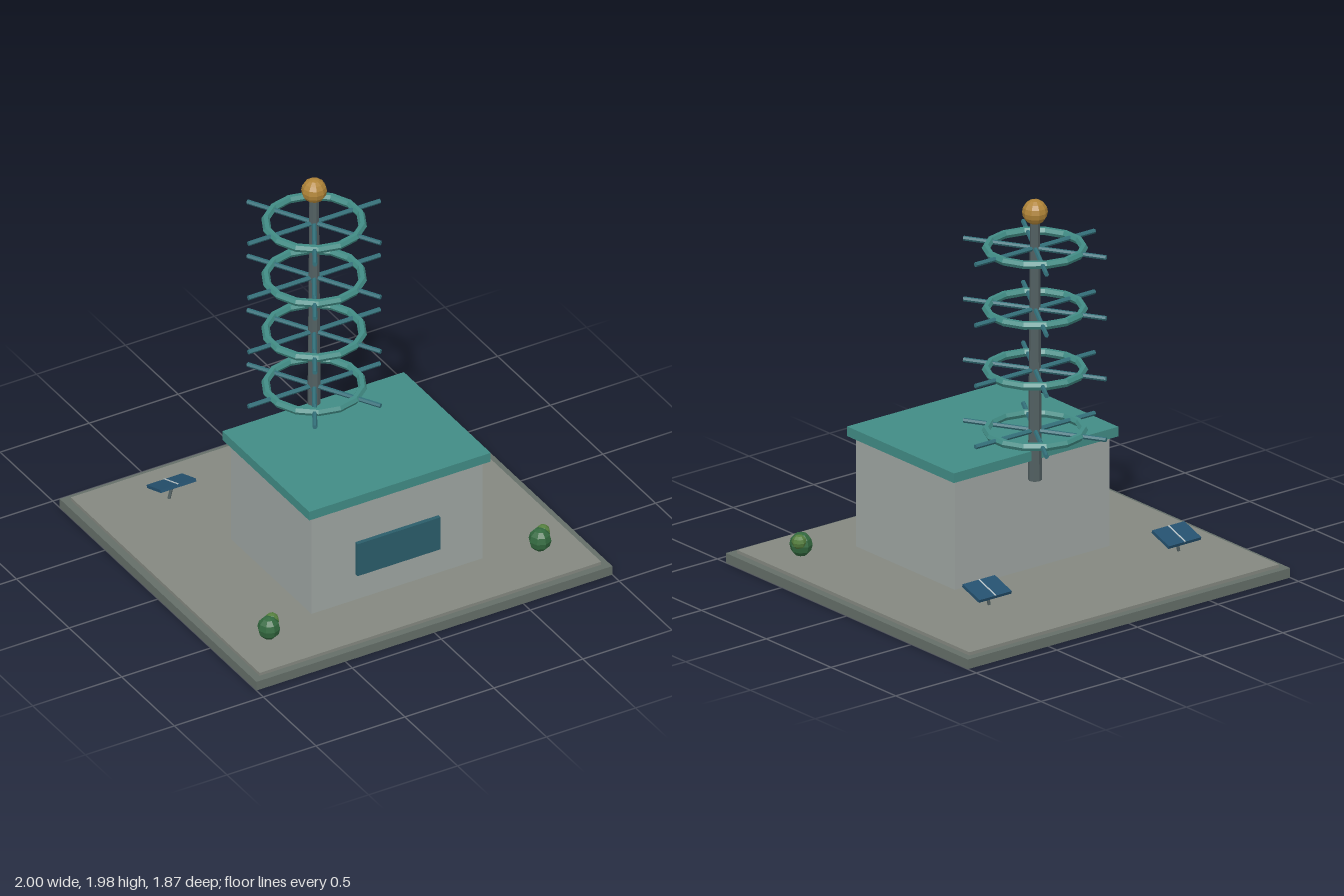
import * as THREE from 'three';

const COLORS = {
  plinth: 0x646e68, paving: 0x848880, wall: 0x9ea5a2, teal: 0x418c85, glass: 0x2b5d6a,
  spoke: 0x33707a, mast: 0x526062, brass: 0xb08438, panel: 0x24506e, trim: 0xb8c4c8,
  leaf: 0x33693f, bud: 0x557f3e,
};

function mesh(name, geometry, color, x = 0, y = 0, z = 0) {
  const material = new THREE.MeshStandardMaterial({ color: COLORS[color], flatShading: true });
  const m = new THREE.Mesh(geometry, material);
  m.name = name;
  m.position.set(x, y, z);
  return m;
}

// Box given by its bounds
function block(name, color, [x0, x1], [y0, y1], [z0, z1]) {
  return mesh(name, new THREE.BoxGeometry(x1 - x0, y1 - y0, z1 - z0), color,
    (x0 + x1) / 2, (y0 + y1) / 2, (z0 + z1) / 2);
}

// Ring with three bars crossing it, making six spokes
function makeAntennaRing() {
  const ring = new THREE.Group();
  ring.name = 'antennaRing';
  const hoop = new THREE.TorusGeometry(0.237, 0.021, 6, 14).rotateZ(Math.PI / 2).rotateX(Math.PI / 2);
  ring.add(mesh('hoop', hoop, 'teal'));
  for (let i = 0; i < 3; i++) {
    const bar = new THREE.CylinderGeometry(0.012, 0.012, 0.74, 6).rotateZ(Math.PI / 2);
    const spoke = mesh('spoke', bar, 'spoke');
    spoke.rotation.y = i * Math.PI / 3;
    ring.add(spoke);
  }
  return ring;
}

// Tilted panel on a leaning post, facing the back
function makeSolarPanel() {
  const solar = new THREE.Group();
  solar.name = 'solarPanel';
  const top = new THREE.Group();
  top.name = 'panelTop';
  top.add(mesh('panel', new THREE.BoxGeometry(0.2, 0.016, 0.138), 'panel'));
  top.add(mesh('divider', new THREE.BoxGeometry(0.007, 0.006, 0.138), 'trim', 0, 0.008, 0));
  top.rotation.x = -0.33;
  const post = mesh('post', new THREE.CylinderGeometry(0.008, 0.008, 0.09, 6), 'mast', -0.003, -0.04, 0);
  post.rotation.z = -0.25;
  solar.add(top, post);
  return solar;
}

// Round shrub with a smaller bud on one side
function makeShrub() {
  const shrub = new THREE.Group();
  shrub.name = 'shrub';
  const body = mesh('shrubBody', new THREE.SphereGeometry(0.057, 8, 6), 'leaf');
  body.scale.y = 1.07;
  shrub.add(body);
  shrub.add(mesh('shrubBud', new THREE.SphereGeometry(0.037, 8, 6), 'bud', 0.028, 0.024, -0.02));
  return shrub;
}

export function createModel() {
  const model = new THREE.Group();
  model.name = 'relayStation';

  // Ground slab
  model.add(block('plinth', 'plinth', [-1, 1], [0, 0.05], [-0.935, 0.935]));
  model.add(block('paving', 'paving', [-0.96, 0.96], [0.05, 0.067], [-0.897, 0.897]));

  // Building
  model.add(block('walls', 'wall', [-0.48, 0.48], [0.067, 0.635], [-0.187, 0.578]));
  model.add(block('roof', 'teal', [-0.51, 0.51], [0.635, 0.685], [-0.217, 0.608]));
  model.add(block('window', 'glass', [-0.233, 0.233], [0.215, 0.4], [0.57, 0.6]));

  // Mast with stacked rings and a ball on top
  const antenna = new THREE.Group();
  antenna.name = 'antenna';
  antenna.position.z = -0.208;
  antenna.add(mesh('mast', new THREE.CylinderGeometry(0.024, 0.034, 1.36, 8), 'mast', 0, 1.21, 0));
  for (let i = 0; i < 4; i++) {
    const ring = makeAntennaRing();
    ring.position.y = 0.786 + i * 0.314;
    antenna.add(ring);
  }
  antenna.add(mesh('topBall', new THREE.SphereGeometry(0.063, 10, 8), 'brass', 0, 1.915, 0));
  model.add(antenna);

  // Panels behind and shrubs in front, on both sides
  for (const side of [-1, 1]) {
    const solar = makeSolarPanel();
    solar.position.set(side * 0.588, 0.21, -0.569);
    const shrub = makeShrub();
    shrub.position.set(side * 0.762, 0.124, 0.65);
    model.add(solar, shrub);
  }
  return model;
}
